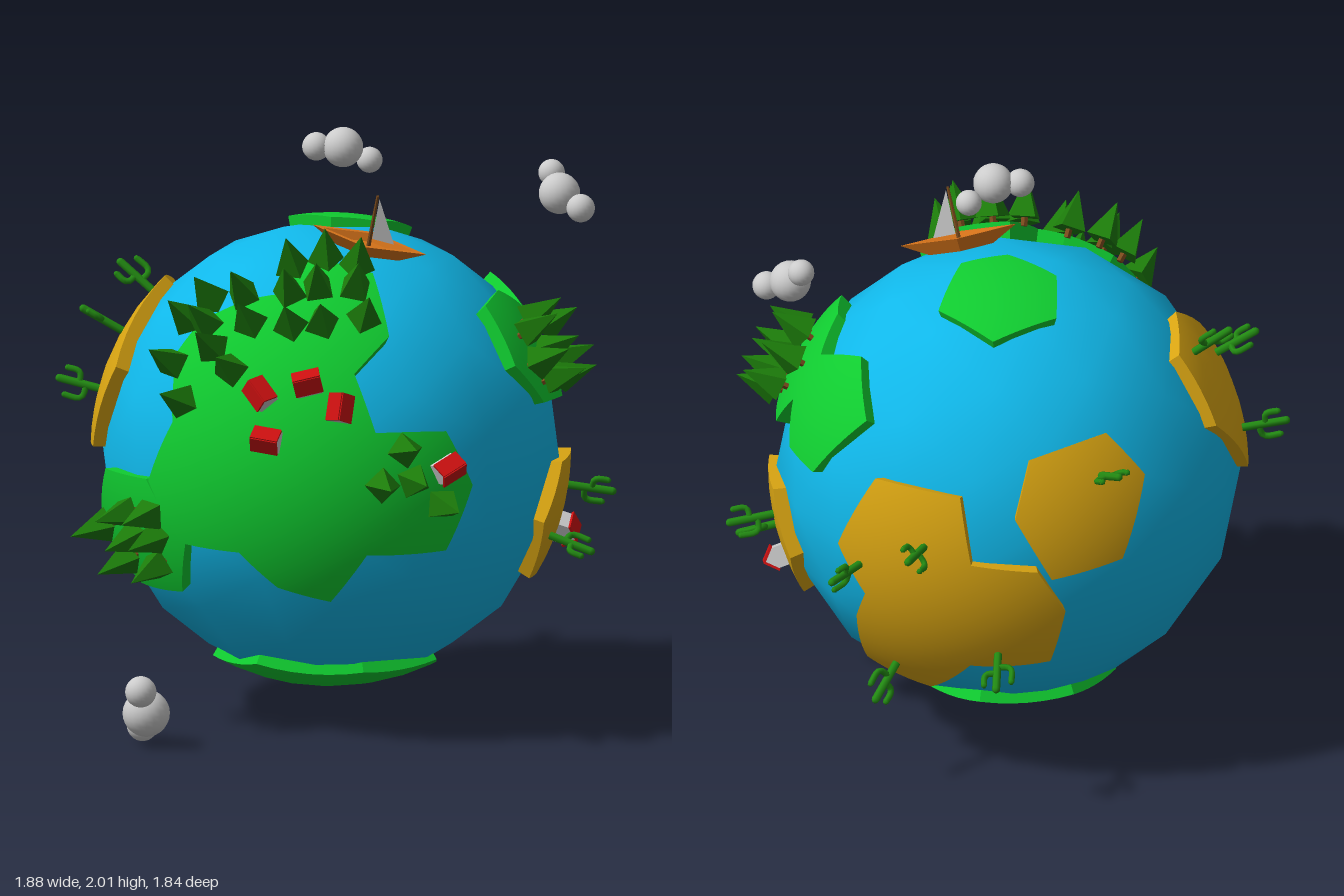
import * as THREE from 'three';
import { mergeGeometries } from 'three/addons/utils/BufferGeometryUtils.js';

const V = (x, y, z) => new THREE.Vector3(x, y, z);
const CENTRE_Y = 0.89, LAND_R = 0.81, UP = V(0, 1, 0);
const mat = (color, flatShading = false, side = THREE.FrontSide) =>
  new THREE.MeshStandardMaterial({ color, flatShading, side });
const M = {
  ocean: mat(0x10b8ea), grass: mat(0x10cc30), sand: mat(0xd8a412), tree: mat(0x1c7c0a, true),
  trunk: mat(0x7a4a1c, true), cactus: mat(0x228a12), wall: mat(0xcccccc, true), roof: mat(0xcc1010, true),
  wood: mat(0xd8741a, true, THREE.DoubleSide), sail: mat(0xcccccc, true, THREE.DoubleSide), cloud: mat(0xcccccc),
};
const mesh = (name, geometry, material, x = 0, y = 0, z = 0) => {
  const m = new THREE.Mesh(geometry, material);
  m.name = name;
  m.position.set(x, y, z);
  return m;
};
const group = (name, ...parts) => {
  const g = new THREE.Group();
  g.name = name;
  if (parts.length) g.add(...parts);
  return g;
};

// Point on a sphere of radius r, seen from azimuth az and elevation el (degrees)
function lift(az, el, r, [sx, sy]) {
  const a = az * Math.PI / 180, e = el * Math.PI / 180;
  const right = V(Math.cos(a), 0, -Math.sin(a));
  const up = V(-Math.sin(a) * Math.sin(e), Math.cos(e), -Math.cos(a) * Math.sin(e));
  const out = V(Math.sin(a) * Math.cos(e), Math.sin(e), Math.cos(a) * Math.cos(e));
  const d = Math.sqrt(Math.max(0, r * r - sx * sx - sy * sy));
  return right.multiplyScalar(sx).addScaledVector(up, sy).addScaledVector(out, d).setLength(r);
}

// Raised patch of land: domed top and a skirt sinking into the ocean
function land(name, material, az, el, outline, r = LAND_R) {
  const flat = outline.map(p => new THREE.Vector2(...p));
  if (THREE.ShapeUtils.isClockWise(flat)) flat.reverse();
  const rim = flat.map(p => lift(az, el, r, [p.x, p.y]));
  const n = 6, top = [], skirt = [];
  const put = (list, ...pts) => pts.forEach(p => list.push(p.x, p.y, p.z));
  for (const f of THREE.ShapeUtils.triangulateShape(flat, [])) {
    let [a, b, c] = f.map(i => rim[i]);
    if (b.clone().sub(a).cross(c.clone().sub(a)).dot(a) < 0) [b, c] = [c, b];
    const at = (i, j) => a.clone().multiplyScalar(n - i - j).addScaledVector(b, i).addScaledVector(c, j).setLength(r);
    for (let i = 0; i < n; i++) for (let j = 0; j < n - i; j++) {
      put(top, at(i, j), at(i + 1, j), at(i, j + 1));
      if (i + j < n - 1) put(top, at(i + 1, j), at(i + 1, j + 1), at(i, j + 1));
    }
  }
  rim.forEach((a, k) => {
    const b = rim[(k + 1) % rim.length];
    for (let i = 0; i < n; i++) {
      const p = a.clone().lerp(b, i / n).setLength(r), q = a.clone().lerp(b, (i + 1) / n).setLength(r);
      const p0 = p.clone().setLength(0.73), q0 = q.clone().setLength(0.73);
      put(skirt, p0, q0, q, p0, q, p);
    }
  });
  const geo = list => new THREE.BufferGeometry().setAttribute('position', new THREE.Float32BufferAttribute(list, 3));
  const dome = geo(top), wall = geo(skirt);
  wall.computeVertexNormals();
  const normals = [];
  for (let i = 0; i < top.length; i += 3) put(normals, V(top[i], top[i + 1], top[i + 2]).normalize());
  dome.setAttribute('normal', new THREE.Float32BufferAttribute(normals, 3));
  return mesh(name, mergeGeometries([dome, wall]), material);
}

// Stand an object on the ground, pointing away from the planet's centre
function stand(object, dir, r, yaw) {
  const n = dir.clone().normalize();
  object.position.copy(n).multiplyScalar(r);
  object.quaternion.setFromUnitVectors(UP, n);
  object.rotateY(yaw);
  return object;
}

const treeGeo = new THREE.ConeGeometry(0.062, 0.14, 4);
const trunkGeo = new THREE.CylinderGeometry(0.012, 0.012, 0.04, 5);
const makeTree = () => group('tree',
  mesh('treeCrown', treeGeo, M.tree, 0, 0.095, 0), mesh('treeTrunk', trunkGeo, M.trunk, 0, 0.015, 0));

// Cactus: a stem with two bent arms
const armGeo = (side, y, reach, rise) => new THREE.TubeGeometry(new THREE.CatmullRomCurve3([
  V(0, y, 0), V(side * reach * 0.8, y + 0.004, 0), V(side * reach, y + 0.018, 0), V(side * reach, y + rise, 0)]), 8, 0.011, 6);
const cactusGeo = mergeGeometries([
  new THREE.CapsuleGeometry(0.014, 0.15, 3, 7).translate(0, 0.075, 0),
  armGeo(1, 0.055, 0.05, 0.065), armGeo(-1, 0.08, 0.042, 0.05),
  new THREE.SphereGeometry(0.011, 6, 4).translate(0.05, 0.12, 0),
  new THREE.SphereGeometry(0.011, 6, 4).translate(-0.042, 0.13, 0)]);
const makeCactus = () => mesh('cactus', cactusGeo, M.cactus);

// House: box walls, gable and two roof slabs
const gable = new THREE.Shape([[-0.036, 0], [0.036, 0], [0.036, 0.045], [0, 0.08], [-0.036, 0.045]].map(p => new THREE.Vector2(...p)));
const wallGeo = new THREE.ExtrudeGeometry(gable, { depth: 0.085, bevelEnabled: false }).translate(0, 0, -0.0425);
const roofGeo = new THREE.BoxGeometry(0.058, 0.008, 0.095);
function makeHouse() {
  const house = group('house', mesh('houseWalls', wallGeo, M.wall));
  for (const s of [-1, 1]) {
    const slab = mesh('houseRoof', roofGeo, M.roof, s * 0.021, 0.064, 0);
    slab.rotation.z = -s * 0.77;
    house.add(slab);
  }
  return house;
}

// Sailing boat: hollow diamond hull, mast and sail
function makeBoat() {
  const profile = [[0, -0.02], [0.55, -0.02], [1, 0.03], [0.8, 0.03], [0.55, 0.005], [0, 0.005]];
  const hull = new THREE.LatheGeometry(profile.map(p => new THREE.Vector2(...p)), 4).scale(0.2, 1, 0.06);
  const sail = new THREE.Shape([[0.008, 0.035], [0.085, 0.035], [0.008, 0.19]].map(p => new THREE.Vector2(...p)));
  const boat = group('boat', mesh('hull', hull, M.wood), mesh('sail', new THREE.ShapeGeometry(sail), M.sail),
    mesh('mast', new THREE.CylinderGeometry(0.005, 0.008, 0.2, 6), M.trunk, 0, 0.1, 0));
  const n = V(0.12, 0.74, 0.235).normalize(), along = V(0.39, -0.11, 0.08);
  along.addScaledVector(n, -along.dot(n)).normalize();
  boat.quaternion.setFromRotationMatrix(new THREE.Matrix4().makeBasis(along, n, along.clone().cross(n)));
  boat.position.copy(n).multiplyScalar(0.785);
  return boat;
}

export function createModel() {
  const planet = group('planet', mesh('ocean', new THREE.IcosahedronGeometry(0.782, 2), M.ocean));
  planet.position.y = CENTRE_Y;

  // Green land
  planet.add(
    land('mainContinent', M.grass, 0, 0, [[0.1, -0.21], [0.37, -0.21], [0.46, 0.01], [0.37, 0.2], [0.13, 0.21], [0.06, 0.4],
      [0.18, 0.51], [0.13, 0.69], [-0.08, 0.73], [-0.2, 0.63], [-0.29, 0.61], [-0.45, 0.53], [-0.53, 0.43], [-0.55, 0.21],
      [-0.63, 0], [-0.52, -0.2], [-0.33, -0.21], [-0.2, -0.33], [-0.02, -0.38]], 0.825),
    land('westernLand', M.grass, 270, 0, [[0.26, -0.01], [0.5, 0], [0.6, -0.2], [0.49, -0.39], [0.28, -0.4], [0.12, -0.22]]),
    land('easternLand', M.grass, 90, 0, [[-0.39, 0.36], [-0.3, 0.55], [-0.13, 0.57], [0, 0.49], [0.19, 0.57], [0.39, 0.43],
      [0.29, 0.2], [0.11, 0.21], [0, 0.33], [-0.1, 0.2], [-0.32, 0.22]]),
    land('northernLand', M.grass, 0, 90, [[-0.14, 0.13], [-0.1, 0.33], [0.13, 0.39], [0.28, 0.2], [0.16, -0.01], [0, -0.01]], 0.8),
    land('southernLand', M.grass, 0, -90, [[-0.4, 0.1], [-0.26, 0.36], [0.1, 0.39], [0.35, 0.25], [0.33, -0.1],
      [0.17, -0.36], [-0.15, -0.38], [-0.33, -0.2]], 0.8));

  // Deserts
  planet.add(
    land('easternDesert', M.sand, 90, 0, [[-0.34, -0.19], [-0.24, 0], [0.01, 0], [0.12, -0.21], [0.01, -0.4], [-0.24, -0.4]]),
    land('backDesert', M.sand, 135, -29, [[-0.16, 0.39], [-0.03, 0.61], [0.28, 0.58], [0.34, 0.39], [0.53, 0.31], [0.59, 0.13],
      [0.51, -0.08], [0.28, -0.03], [0.07, -0.22], [-0.16, -0.14], [-0.11, 0.13], [-0.05, 0.25]]),
    land('smallDesert', M.sand, 213, 25, [[-0.53, -0.06], [-0.44, 0.12], [-0.18, 0.12], [-0.09, -0.06], [-0.22, -0.31], [-0.45, -0.3]]),
    land('westernDesert', M.sand, 218, 25, [[0.22, 0.24], [0.38, 0.35], [0.67, 0.15], [0.69, -0.15], [0.49, -0.25], [0.25, -0.03]]));

  // Scatter copies of an object over spots seen from one direction
  const scatter = (name, make, az, el, spots, seen = 0.89, ground = LAND_R) => planet.add(group(name,
    ...spots.map((s, i) => stand(make(), lift(az, el, seen, s), ground, i * 1.3 + 0.4))));

  scatter('northForest', makeTree, 0, 90, [[-0.15, -0.46], [-0.03, -0.44], [0.08, -0.47], [-0.16, -0.56], [-0.06, -0.56],
    [0.07, -0.56], [-0.05, -0.67], [-0.16, -0.66], [0.1, -0.65]], 0.89, 0.82);
  scatter('northWestForest', makeTree, 0, 90, [[-0.51, -0.47], [-0.43, -0.46], [-0.57, -0.54], [-0.45, -0.53], [-0.32, -0.51],
    [-0.54, -0.64], [-0.43, -0.61], [-0.3, -0.61], [-0.37, -0.69]], 0.89, 0.82);
  scatter('westForest', makeTree, 0, 0, [[-0.81, -0.21], [-0.74, -0.13], [-0.66, -0.12], [-0.71, -0.22], [-0.64, -0.2],
    [-0.73, -0.31], [-0.63, -0.31]]);
  scatter('villageTrees', makeTree, 0, 0, [[0.24, 0.16], [0.16, 0.04], [0.27, 0.05], [0.37, -0.04]], 0.89, 0.82);
  scatter('eastForest', makeTree, 90, 0, [[-0.29, 0.48], [-0.19, 0.51], [-0.09, 0.46], [-0.35, 0.38], [-0.24, 0.4],
    [-0.13, 0.35], [-0.3, 0.31], [-0.2, 0.3]]);

  scatter('village', makeHouse, 0, 0, [[-0.26, 0.34], [-0.1, 0.38], [0.01, 0.3], [-0.24, 0.19], [0.38, 0.08]], 0.86, 0.815);
  scatter('desertHouse', makeHouse, 90, 0, [[-0.02, -0.28]], 0.86, 0.8);

  scatter('eastCacti', makeCactus, 90, 0, [[-0.04, -0.13], [-0.25, -0.28]]);
  scatter('westCacti', makeCactus, 218, 25, [[0.35, 0.24], [0.56, 0.17], [0.53, -0.12]]);
  scatter('smallDesertCactus', makeCactus, 213, 25, [[-0.27, -0.01]]);
  scatter('backCacti', makeCactus, 135, -29, [[-0.07, 0.39], [0.2, 0.5], [0.42, 0.02], [-0.01, -0.09]]);

  planet.add(makeBoat());

  // Clouds: three puffs each, as x, y, z, radius
  const puffs = [
    [[0.04, 1.94, 0.06, 0.068], [-0.05, 1.94, 0.045, 0.048], [0.13, 1.89, 0.03, 0.044]],
    [[0.775, 1.74, -0.13, 0.07], [0.75, 1.8, -0.19, 0.045], [0.845, 1.7, -0.07, 0.048]],
    [[-0.64, 0.115, 0.65, 0.08], [-0.66, 0.2, 0.71, 0.053], [-0.65, 0.055, 0.56, 0.053]]];
  const clouds = puffs.map(c => group('cloud', ...c.map(([x, y, z, r]) =>
    mesh('cloudPuff', new THREE.SphereGeometry(r, 20, 14), M.cloud, x, y, z))));

  return group('tinyPlanet', planet, ...clouds);
}
